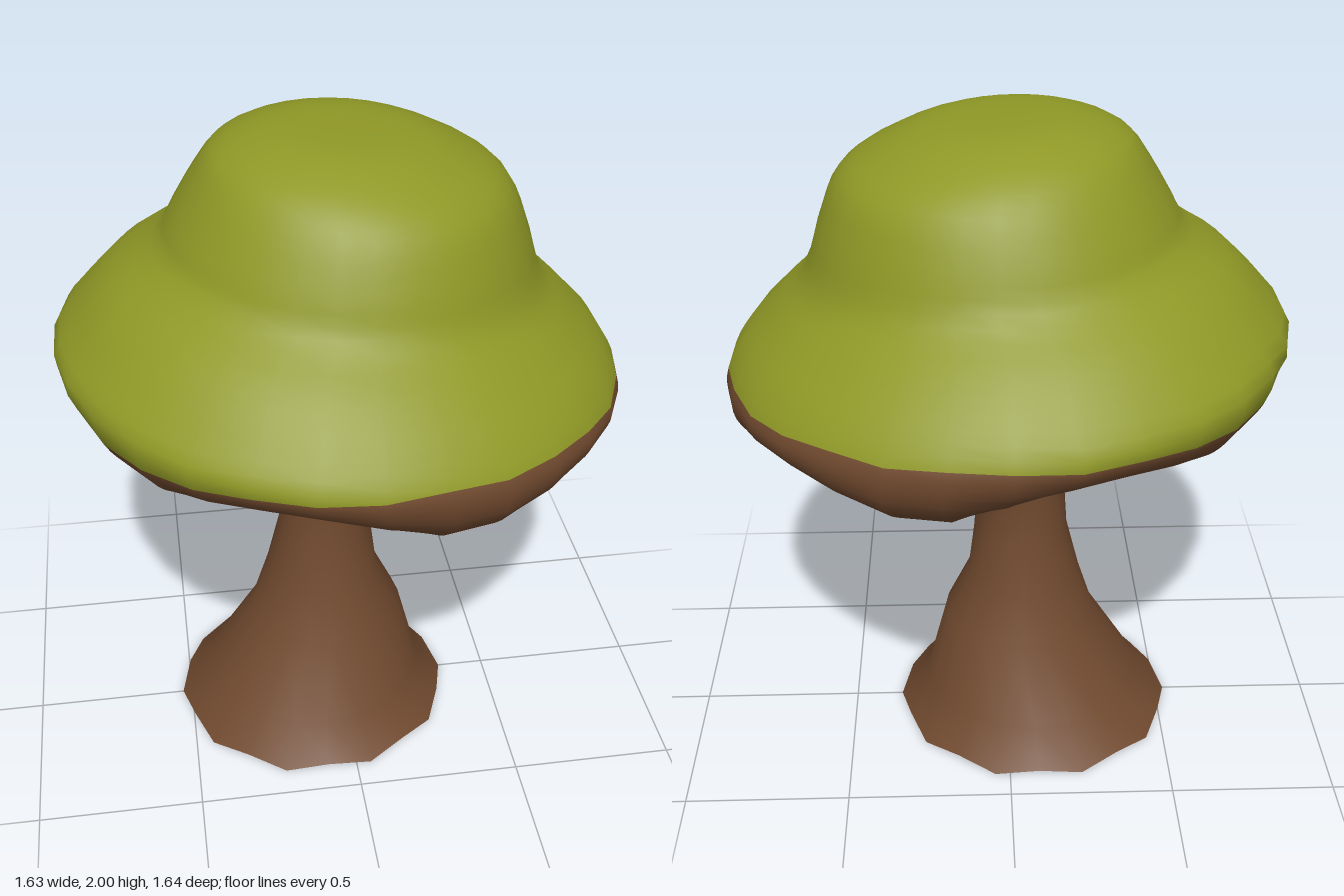
import * as THREE from 'three';

// Skin a closed surface: point(i, j) for columns i around and rows j from top to bottom
function skin(cols, rows, point, pole = false) {
  const pos = [], idx = [];
  for (let j = 0; j <= rows; j++)
    for (let i = 0; i < cols; i++) pos.push(...point(i, j));
  const id = (i, j) => (pole && j === 0 ? 0 : j * cols + (i % cols));
  for (let j = 0; j < rows; j++)
    for (let i = 0; i < cols; i++) {
      const a = id(i, j), b = id(i, j + 1), c = id(i + 1, j), d = id(i + 1, j + 1);
      idx.push(a, c, b, c, d, b);
    }
  const g = new THREE.BufferGeometry();
  g.setAttribute('position', new THREE.Float32BufferAttribute(pos, 3));
  g.setIndex(idx);
  g.computeVertexNormals();
  return g;
}

// Cap rings: centre x, radius, height, slope along x, lobe height, lobe radius
const CAP = [
  [-0.05, 0, 2.0, 0, 0, 0],
  [0.01, 0.21, 1.985, -0.06, 0, 0],
  [0.01, 0.35, 1.93, -0.045, 0, 0],
  [0.035, 0.435, 1.855, -0.035, 0, 0],
  [0.03, 0.5, 1.73, -0.05, 0, 0],
  [0.035, 0.545, 1.625, -0.12, 0, 0],
  [0.01, 0.66, 1.525, -0.1, 0, 0],
  [0.01, 0.76, 1.42, -0.09, 0, 0],
  [0, 0.818, 1.32, -0.086, 0, 0],
  [0.02, 0.77, 1.215, -0.07, -0.02, 0.01],
  [0.01, 0.63, 1.163, -0.09, -0.045, 0.045],
  [0, 0.42, 1.24, -0.08, -0.02, 0.02],
  [0, 0.1, 1.3, -0.05, 0, 0],
];
const LIP = 10;

function buildCap(moss, bark) {
  const cols = 30, upper = 26, lower = 18;
  const columns = [];
  for (let i = 0; i < cols; i++) {
    const a = ((i + 0.5) / cols) * Math.PI * 2;
    const lobe = Math.cos(5 * a);
    const pts = CAP.map(([cx, r, y, slope, ly, lr]) => {
      const rr = r + lr * lobe, x = cx + rr * Math.cos(a);
      return new THREE.Vector3(x, y + slope * x + ly * lobe, rr * Math.sin(a));
    });
    const curve = new THREE.CatmullRomCurve3(pts);
    // Find where the moss gives way to bark on this column
    const x = Math.cos(a);
    const seamY = Math.max(1.33 - 0.05 * x * x + 0.006 * Math.sin(i * 2.3), pts[LIP].y + 0.035);
    let lo = 0, hi = LIP / (CAP.length - 1);
    for (let k = 0; k < 24; k++) {
      const mid = (lo + hi) / 2;
      if (curve.getPoint(mid).y > seamY) lo = mid; else hi = mid;
    }
    columns.push({ curve, seam: lo });
  }
  const g = skin(cols, upper + lower, (i, j) => {
    const { curve, seam } = columns[i];
    const t = j <= upper ? (seam * j) / upper : seam + ((1 - seam) * (j - upper)) / lower;
    return curve.getPoint(t).toArray();
  }, true);
  const split = upper * cols * 6;
  g.addGroup(0, split, 0);
  g.addGroup(split, lower * cols * 6, 1);
  const mesh = new THREE.Mesh(g, [moss, bark]);
  mesh.name = 'cap';
  return mesh;
}

// Stem rings: centre x, radius along x, radius along z, height
const STEM = [
  [0.03, 0.25, 0.22, 1.36],
  [0.01, 0.215, 0.19, 1.2],
  [-0.013, 0.172, 0.165, 1.06],
  [-0.043, 0.136, 0.14, 0.84],
  [-0.045, 0.145, 0.15, 0.68],
  [-0.055, 0.175, 0.18, 0.52],
  [-0.042, 0.24, 0.225, 0.36],
  [-0.085, 0.345, 0.33, 0.12],
  [-0.09, 0.44, 0.43, 0],
];

function buildStem(bark) {
  const cols = 20;
  const g = skin(cols, STEM.length - 1, (i, j) => {
    const [cx, rx, rz, y] = STEM[j];
    const a = (i / cols) * Math.PI * 2;
    // Scalloped foot
    const lift = j === STEM.length - 1 && i % 2 ? 0.018 : 0;
    const k = 1 - lift * 1.5;
    return [cx + rx * k * Math.cos(a), y + lift, rz * k * Math.sin(a)];
  });
  const mesh = new THREE.Mesh(g, bark);
  mesh.name = 'stem';
  return mesh;
}

export function createModel() {
  const moss = new THREE.MeshStandardMaterial({ color: 0x8f9826, side: THREE.DoubleSide });
  moss.name = 'moss green';
  const bark = new THREE.MeshStandardMaterial({ color: 0x714a2f, side: THREE.DoubleSide });
  bark.name = 'bark brown';
  const group = new THREE.Group();
  group.name = 'mushroomTree';
  group.add(buildCap(moss, bark), buildStem(bark));
  return group;
}
